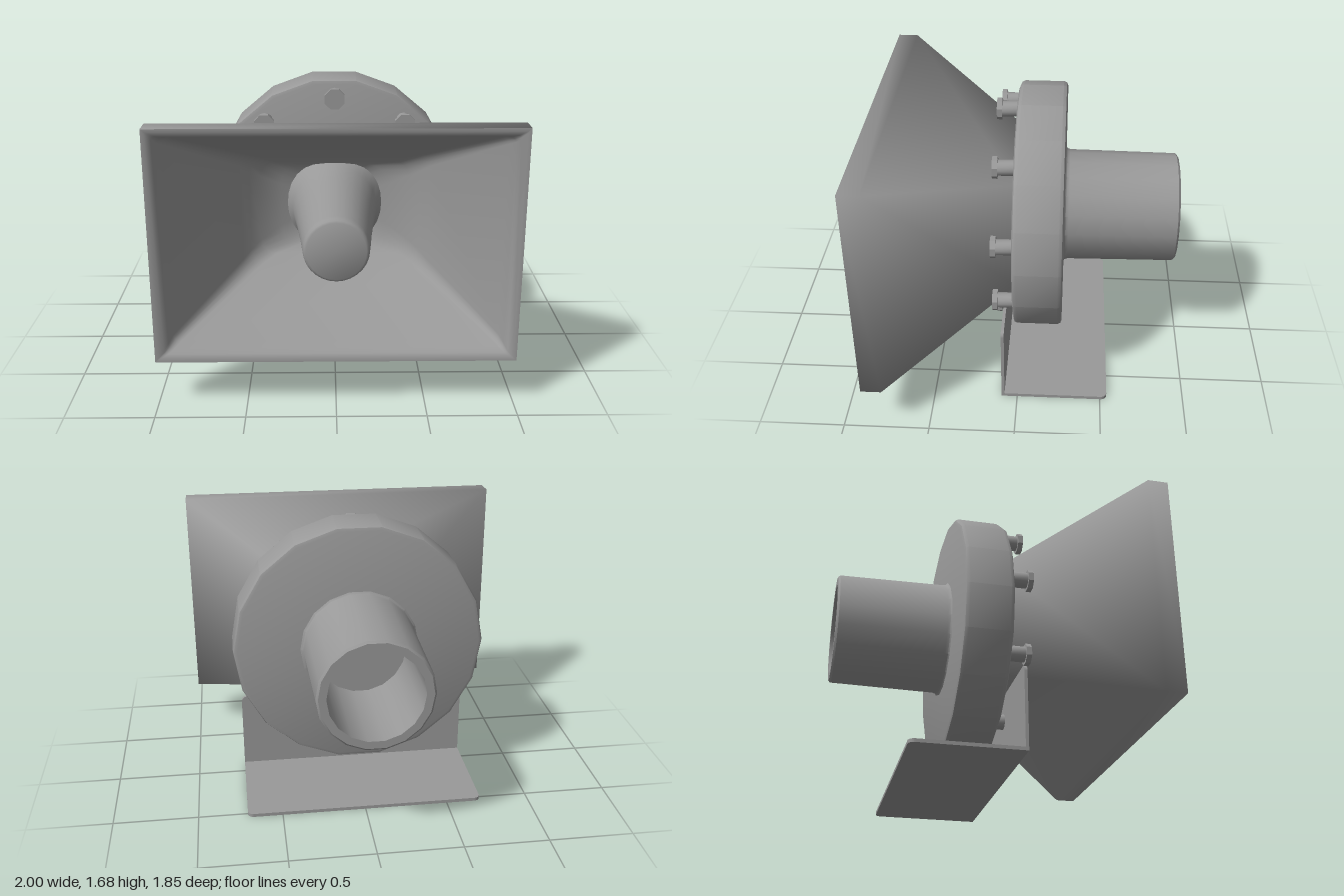
import * as THREE from 'three';
import { toCreasedNormals } from 'three/addons/utils/BufferGeometryUtils.js';

const AXIS_Y = 0.945;
const material = new THREE.MeshStandardMaterial({ color: 0x999999 });

function part(name, geometry, parent) {
  const mesh = new THREE.Mesh(geometry, material);
  mesh.name = name;
  parent.add(mesh);
  return mesh;
}

// Turned part around the z axis; profile points are [radius, z]
function turned(profile, sides, crease) {
  const points = profile.map(([r, z]) => new THREE.Vector2(r, z));
  const geometry = new THREE.LatheGeometry(points, sides);
  geometry.rotateY(Math.PI / 2).rotateX(Math.PI / 2);
  return toCreasedNormals(geometry, crease);
}

// Skin through rectangular rings [halfWidth, halfHeight, z, cornerRadius]
function rectangularLoft(rings, cornerSteps, crease) {
  const positions = [], index = [];
  const count = 4 * (cornerSteps + 1);
  for (const [w, h, z, radius] of rings) {
    for (let corner = 0; corner < 4; corner++) {
      const sx = corner === 0 || corner === 3 ? 1 : -1;
      const sy = corner < 2 ? 1 : -1;
      for (let s = 0; s <= cornerSteps; s++) {
        const angle = (corner + (cornerSteps ? s / cornerSteps : 0.5)) * Math.PI / 2;
        positions.push(sx * (w - radius) + radius * Math.cos(angle), sy * (h - radius) + radius * Math.sin(angle), z);
      }
    }
  }
  for (let r = 0; r < rings.length - 1; r++) {
    for (let i = 0; i < count; i++) {
      const a = r * count + i, b = r * count + (i + 1) % count;
      index.push(a, b, b + count, a, b + count, a + count);
    }
  }
  const geometry = new THREE.BufferGeometry();
  geometry.setAttribute('position', new THREE.Float32BufferAttribute(positions, 3));
  geometry.setIndex(index);
  return toCreasedNormals(geometry, crease);
}

// Thin plate with its two far corners rounded
function plate(width, height, thickness, radius) {
  const w = width / 2;
  const shape = new THREE.Shape();
  shape.moveTo(-w, 0);
  shape.lineTo(w, 0);
  shape.lineTo(w, height - radius);
  shape.absarc(w - radius, height - radius, radius, 0, Math.PI / 2);
  shape.absarc(-w + radius, height - radius, radius, Math.PI / 2, Math.PI);
  return new THREE.ExtrudeGeometry(shape, { depth: thickness, bevelEnabled: false, curveSegments: 4 });
}

export function createModel() {
  const model = new THREE.Group();
  model.name = 'hornSpeaker';

  // Flared horn: outer wall, then rolled rim, softly rounded inner wall and throat floor
  const horn = new THREE.Group();
  horn.name = 'horn';
  horn.position.y = 0.9375;
  model.add(horn);
  part('hornOuterWall', rectangularLoft([
    [0.36, 0.355, 0.02, 0], [1, 0.6625, 0.76, 0], [1, 0.6625, 0.88, 0],
  ], 0, 1.6), horn);
  part('hornInnerWall', rectangularLoft([
    [1, 0.6625, 0.88, 0.002], [0.98, 0.645, 0.88, 0.01], [0.95, 0.62, 0.865, 0.02],
    [0.93, 0.605, 0.83, 0.03], [0.91, 0.59, 0.77, 0.04],
    [0.55, 0.36, 0.3, 0.07], [0.5, 0.325, 0.24, 0.08], [0.44, 0.29, 0.19, 0.09],
    [0.32, 0.25, 0.12, 0.12], [0.15, 0.15, 0.08, 0.1],
  ], 4, 1.2), horn);

  const driver = new THREE.Group();
  driver.name = 'driver';
  driver.position.y = AXIS_Y;
  model.add(driver);

  // Central plug, widening into the throat floor
  part('plug', turned([
    [0.31, 0.08], [0.275, 0.12], [0.25, 0.2], [0.225, 0.4], [0.2, 0.65],
    [0.182, 0.87], [0.179, 0.9], [0.172, 0.918], [0.16, 0.925], [0, 0.925],
  ], 28, 0.8), driver);

  // Flange disc with rounded edges
  part('flange', turned([
    [0, -0.255], [0.72, -0.255], [0.738, -0.248], [0.746, -0.23],
    [0.746, 0.005], [0.738, 0.023], [0.72, 0.03], [0, 0.03],
  ], 18, 0.45), driver);

  // Hollow rear pipe with a small fillet at the flange
  part('rearPipe', turned([
    [0, -0.3], [0.27, -0.3], [0.27, -0.925], [0.315, -0.925],
    [0.327, -0.913], [0.335, -0.28], [0.341, -0.262], [0.355, -0.253],
  ], 18, 0.7), driver);

  // Ring of bolts on the front of the flange
  const shank = turned([[0.045, 0.02], [0.045, 0.13]], 12, 0.9);
  const head = turned([[0, 0.12], [0.063, 0.12], [0.063, 0.15], [0, 0.15]], 8, 0.4).rotateZ(Math.PI / 8);
  for (let i = 0; i < 9; i++) {
    const angle = i * Math.PI * 2 / 9;
    const bolt = new THREE.Group();
    bolt.name = 'bolt';
    bolt.position.set(0.643 * Math.sin(angle), 0.643 * Math.cos(angle), 0);
    part('boltShank', shank, bolt);
    part('boltHead', head, bolt);
    driver.add(bolt);
  }

  // Angle bracket: upright and foot
  const bracket = new THREE.Group();
  bracket.name = 'bracket';
  part('bracketUpright', plate(1.415, 0.495, 0.018, 0.035), bracket).position.z = 0.077;
  part('bracketFoot', plate(1.415, 0.635, 0.02, 0.035).rotateX(-Math.PI / 2), bracket).position.z = 0.095;
  model.add(bracket);

  return model;
}
